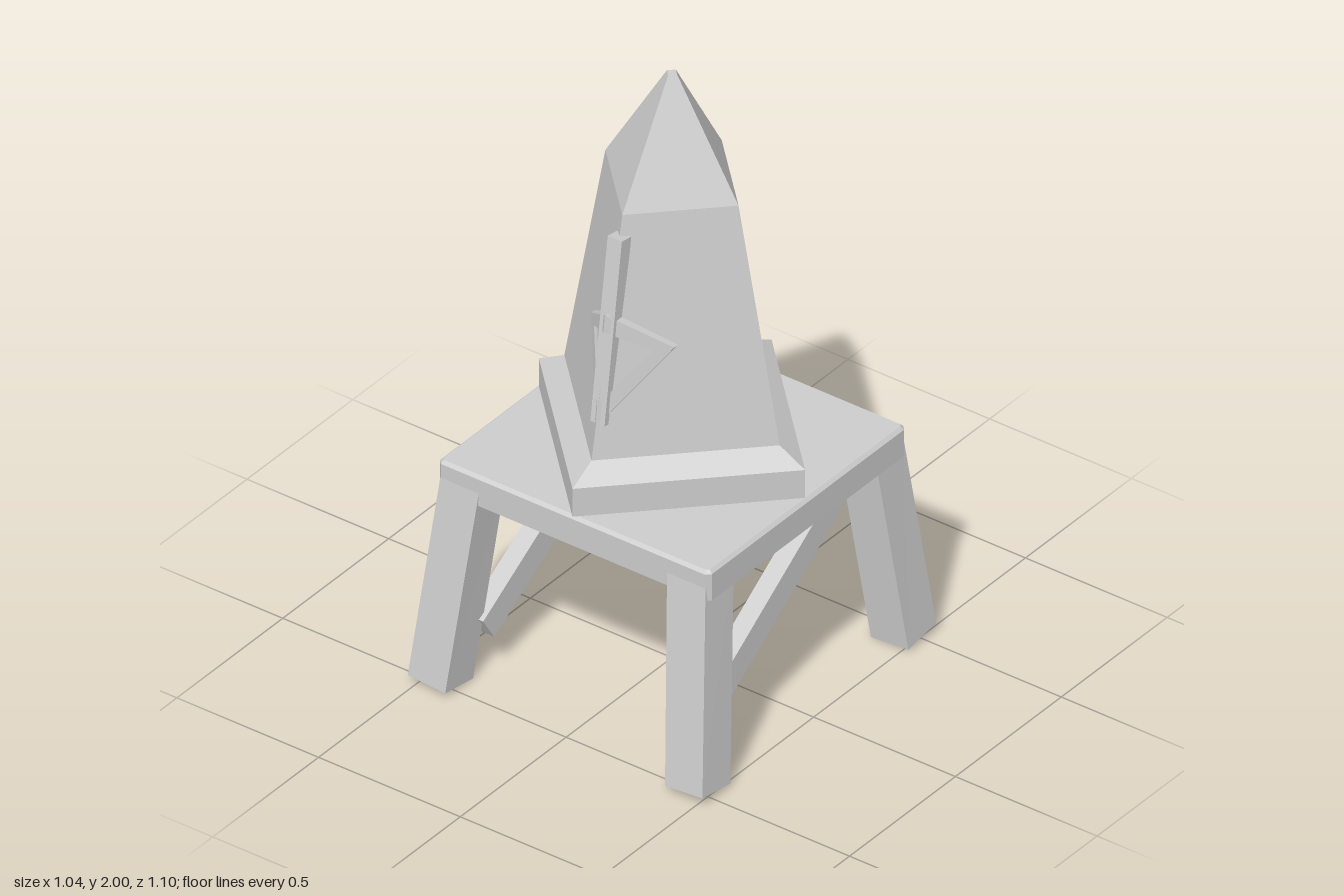
import * as THREE from 'three';

const stone = new THREE.MeshStandardMaterial({ color: 0xcccccc });
stone.name = 'pale grey stone';

// Closed solid through rings of [x, y, z], bottom to top, each counter-clockwise from above
function loft(rings) {
  const pos = [];
  const tri = (a, b, c) => pos.push(...a, ...b, ...c);
  const n = rings[0].length;
  for (let i = 0; i < rings.length - 1; i++) {
    for (let j = 0; j < n; j++) {
      const k = (j + 1) % n;
      tri(rings[i][j], rings[i][k], rings[i + 1][k]);
      tri(rings[i][j], rings[i + 1][k], rings[i + 1][j]);
    }
  }
  const low = rings[0], top = rings[rings.length - 1];
  for (let j = 1; j < n - 1; j++) {
    tri(top[0], top[j], top[j + 1]);
    tri(low[0], low[j + 1], low[j]);
  }
  const g = new THREE.BufferGeometry();
  g.setAttribute('position', new THREE.Float32BufferAttribute(pos, 3));
  g.computeVertexNormals();
  return g;
}

function add(group, name, geometry) {
  const mesh = new THREE.Mesh(geometry, stone);
  mesh.name = name;
  group.add(mesh);
  return mesh;
}

// Straight square-ended beam between two points
function beam(group, name, from, to, width, depth) {
  const a = new THREE.Vector3(...from), b = new THREE.Vector3(...to);
  const mesh = add(group, name, new THREE.BoxGeometry(width, depth, a.distanceTo(b)));
  mesh.position.copy(a).add(b).multiplyScalar(0.5);
  mesh.lookAt(b);
}

// Square ring turned so its corners lie on the axes
const diamond = (r, y) => [[r, y, 0], [0, y, -r], [-r, y, 0], [0, y, r]];

// Rectangle with clipped corners
const clipped = (x, z, c, y) => [
  [x, y, z - c], [x, y, -z + c], [x - c, y, -z], [-x + c, y, -z],
  [-x, y, -z + c], [-x, y, z - c], [-x + c, y, z], [x - c, y, z],
];

// Splayed leg with a tilted foot
function leg(sx, sz) {
  const ring = (xo, xi, zo, zi, ys) => {
    const pts = [[xo, zo], [xo, zi], [xi, zi], [xi, zo]]
      .map(([x, z], i) => [sx * x, ys[i], sz * z]);
    return sx * sz < 0 ? pts.reverse() : pts;
  };
  return loft([
    ring(0.52, 0.388, 0.552, 0.42, [0.03, 0.01, 0, 0.02]),
    ring(0.468, 0.332, 0.468, 0.335, [0.68, 0.68, 0.68, 0.68]),
  ]);
}

// Half of the diamond emblem, bent onto the sloping face beside the front edge
function emblemHalf(side) {
  const outline = [[0, 1.342], [0.147, 1.22], [0.01, 1.0], [0, 1.0], [0, 1.055], [0.106, 1.216], [0, 1.287]];
  const shape = new THREE.Shape(outline.map(([x, y]) => new THREE.Vector2(side * x, y)));
  const g = new THREE.ExtrudeGeometry(shape, { depth: 0.04, bevelEnabled: false });
  const p = g.attributes.position;
  for (let i = 0; i < p.count; i++) {
    const x = p.getX(i), y = p.getY(i);
    const face = 0.38 - (y - 0.88) * 0.191 - Math.abs(x);
    p.setZ(i, p.getZ(i) - 0.04 + face + 0.003 + (y - 1) * 0.065);
  }
  g.computeVertexNormals();
  return g;
}

export function createModel() {
  const model = new THREE.Group();
  model.name = 'obelisk on stand';

  // Obelisk with stepped base and pointed cap
  add(model, 'obeliskBase', loft([diamond(0.47, 0.737), diamond(0.47, 0.832), diamond(0.38, 0.88)]));
  add(model, 'obeliskShaft', loft([diamond(0.38, 0.88), diamond(0.235, 1.64), diamond(0.018, 2)]));

  // Emblem on the front edge
  const emblem = new THREE.Group();
  emblem.name = 'emblem';
  model.add(emblem);
  beam(emblem, 'emblemStem', [0, 0.988, 0.33], [0, 1.575, 0.248], 0.05, 0.045);
  for (const side of [1, -1]) add(emblem, 'emblemDiamondHalf', emblemHalf(side));

  // Table top with chamfered rim
  add(model, 'tableTop', loft([
    clipped(0.48, 0.468, 0.014, 0.637),
    clipped(0.48, 0.468, 0.014, 0.727),
    clipped(0.47, 0.458, 0.008, 0.737),
  ]));

  // Legs and diagonal side braces
  for (const sx of [1, -1]) {
    for (const sz of [1, -1]) add(model, sz > 0 ? 'frontLeg' : 'backLeg', leg(sx, sz));
    beam(model, 'sideBrace', [sx * 0.385, 0.165, 0.39], [sx * 0.37, 0.662, -0.38], 0.06, 0.094);
  }
  return model;
}
